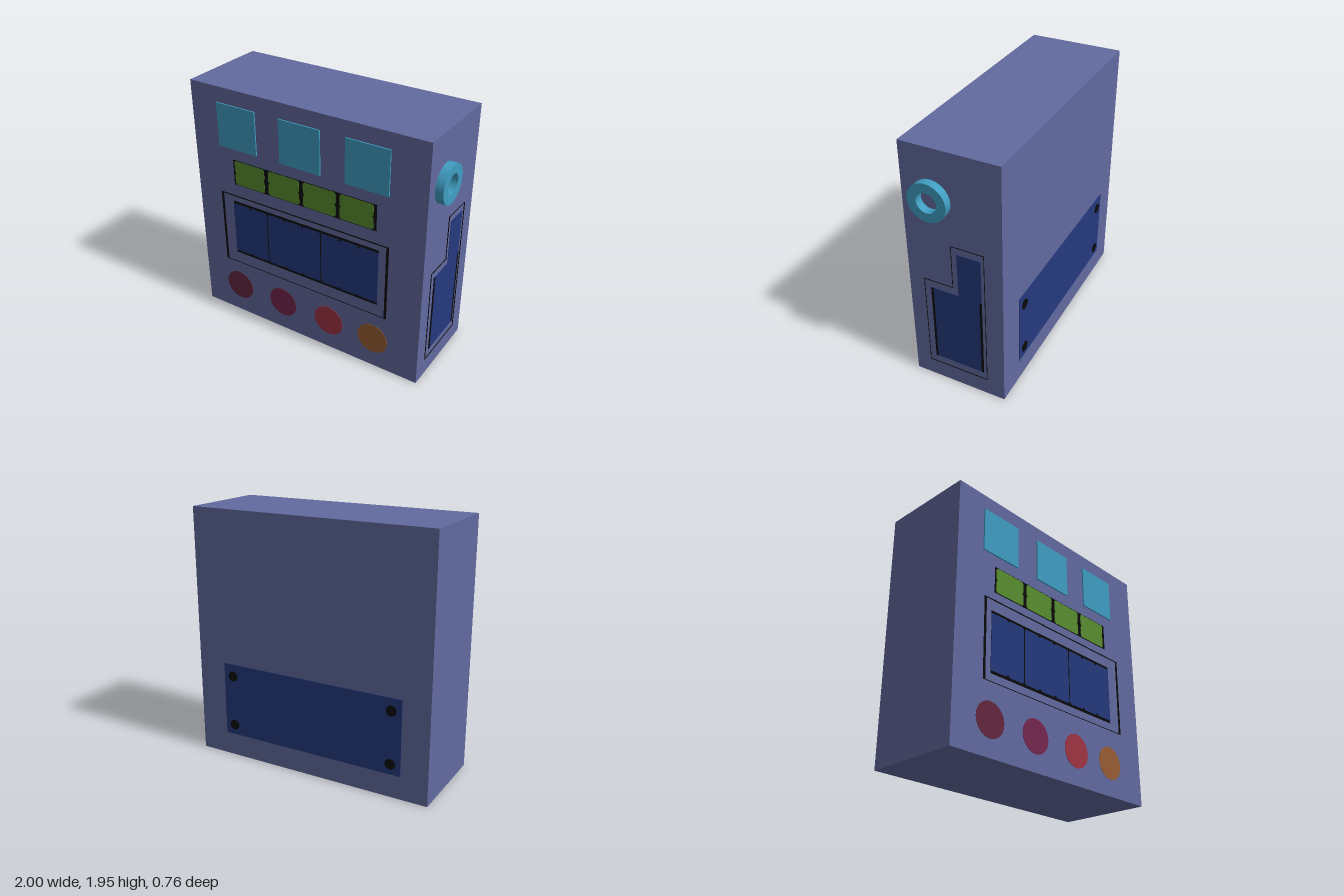
import * as THREE from 'three';

const mat = (name, color) => {
  const m = new THREE.MeshStandardMaterial({ color });
  m.name = name;
  return m;
};

export function createModel() {
  const M = {
    body: mat('slate blue', 0x626a9f),
    cyan: mat('cyan', 0x409dc2),
    green: mat('green', 0x588d30),
    navy: mat('navy', 0x25397d),
    black: mat('black', 0x0b0b0b),
    maroon: mat('maroon', 0x64263e),
    plum: mat('plum', 0x752750),
    red: mat('red', 0x9e3443),
    amber: mat('amber', 0x985d34),
  };
  const root = new THREE.Group();
  const FRONT = 0.352, BACK = -0.375, SIDE = 0.94;

  const add = (parent, name, geo, material, x = 0, y = 0, z = 0) => {
    const mesh = new THREE.Mesh(geo, material);
    mesh.name = name;
    mesh.position.set(x, y, z);
    parent.add(mesh);
    return mesh;
  };
  // box given by its limits
  const box = (parent, name, material, x0, x1, y0, y1, z0, z1) =>
    add(parent, name, new THREE.BoxGeometry(x1 - x0, y1 - y0, z1 - z0), material,
      (x0 + x1) / 2, (y0 + y1) / 2, (z0 + z1) / 2);
  // thin plate cut from an outline, standing in the xy plane
  const plate = (parent, name, material, pts, z, depth) =>
    add(parent, name, new THREE.ExtrudeGeometry(
      new THREE.Shape(pts.map(p => new THREE.Vector2(...p))),
      { depth, bevelEnabled: false }), material, 0, 0, z);
  const disc = (parent, name, material, r, x, y, z, h) => {
    const d = add(parent, name, new THREE.CylinderGeometry(r, r, h, 40), material, x, y, z);
    d.rotation.x = Math.PI / 2;
  };

  // casing
  box(root, 'casing', M.body, -1, SIDE, 0, 1.945, BACK, FRONT);

  // three raised square keys
  [-0.765, -0.22, 0.32].forEach(x =>
    box(root, 'squareKey', M.cyan, x, x + 0.34, 1.485, 1.825, FRONT, FRONT + 0.01));

  // row of green cells on a black strip
  const strip = new THREE.Group();
  strip.name = 'cellStrip';
  root.add(strip);
  box(strip, 'stripBacking', M.black, -0.65, 0.57, 1.19, 1.395, FRONT, FRONT + 0.002);
  [-0.637, -0.332, -0.028, 0.276].forEach(x => {
    const w = 0.27, c = 0.012, y0 = 1.195, y1 = 1.39, ym = 1.2925;
    plate(strip, 'greenCell', M.green, [
      [x + c, y0], [x + w - c, y0], [x + w, y0 + c], [x + w, ym - c], [x + w - c, ym],
      [x + w, ym + c], [x + w, y1 - c], [x + w - c, y1], [x + c, y1], [x, y1 - c],
      [x, ym + c], [x + c, ym], [x, ym - c], [x, y0 + c],
    ], FRONT + 0.002, 0.002);
  });

  // display with black edges, dividers and tick marks
  const display = new THREE.Group();
  display.name = 'display';
  root.add(display);
  box(display, 'displayBacking', M.black, -0.675, 0.595, 0.575, 1.04, FRONT, FRONT + 0.002);
  box(display, 'displayScreen', M.navy, -0.675, 0.595, 0.595, 1.02, FRONT, FRONT + 0.004);
  [-0.358, 0.118].forEach(x =>
    box(display, 'divider', M.black, x - 0.003, x + 0.003, 0.595, 1.02, FRONT, FRONT + 0.006));
  for (let i = 0; i < 7; i++) {
    const x = -0.517 + i * 0.159;
    plate(display, 'topTick', M.black, [[x - 0.015, 1.02], [x, 1.004], [x + 0.015, 1.02]], FRONT + 0.004, 0.002);
    plate(display, 'bottomTick', M.black, [[x - 0.015, 0.595], [x + 0.015, 0.595], [x, 0.611]], FRONT + 0.004, 0.002);
  }

  // slim frame standing just off the front
  const frame = new THREE.Group();
  frame.name = 'displayFrame';
  root.add(frame);
  [[-0.765, -0.746, 0.5, 1.11], [0.666, 0.685, 0.5, 1.11],
    [-0.746, 0.666, 1.102, 1.11], [-0.746, 0.666, 0.5, 0.504]].forEach(r =>
    box(frame, 'frameBar', M.black, ...r, 0.376, 0.379));

  // round buttons
  [[-0.67, M.maroon], [-0.245, M.plum], [0.18, M.red], [0.565, M.amber]].forEach(([x, m]) =>
    disc(root, 'roundButton', m, 0.125, x, 0.253, FRONT + 0.001, 0.004));

  // side face: local x runs to the back, local z points outward
  const side = new THREE.Group();
  side.name = 'sideFittings';
  side.position.x = SIDE;
  side.rotation.y = Math.PI / 2;
  root.add(side);

  // ring socket
  const ring = new THREE.Shape().absarc(0, 0, 0.143, 0, Math.PI * 2);
  ring.holes.push(new THREE.Path().absarc(0, 0, 0.075, 0, Math.PI * 2, true));
  add(side, 'ringSocket', new THREE.ExtrudeGeometry(ring,
    { depth: 0.06, bevelEnabled: false, curveSegments: 40 }), M.cyan, -0.13, 1.575, 0);

  // stepped side panel with dark edges
  plate(side, 'sidePanel', M.navy, [[-0.18, 0.2], [0.215, 0.2], [0.215, 1.19],
    [0.035, 1.19], [0.035, 0.84], [-0.18, 0.84]], 0, 0.003);
  [-0.18, 0.198].forEach(x =>
    box(side, 'panelEdge', M.black, x, x + 0.017, 0.2, 0.84, 0.001, 0.005));

  // hairline outline around the side panel
  const path = [[-0.23, 0.14], [0.24, 0.14], [0.24, 1.245], [-0.005, 1.245], [-0.005, 0.9], [-0.23, 0.9]];
  path.forEach((a, i) => {
    const b = path[(i + 1) % path.length], t = 0.001;
    box(side, 'outline', M.black, Math.min(a[0], b[0]) - t, Math.max(a[0], b[0]) + t,
      Math.min(a[1], b[1]) - t, Math.max(a[1], b[1]) + t, 0, 0.006);
  });

  // back cover with four screws
  box(root, 'backCover', M.navy, -0.79, 0.71, 0.18, 0.76, BACK - 0.005, BACK);
  [-0.71, 0.63].forEach(x => [0.26, 0.665].forEach(y =>
    disc(root, 'screw', M.black, 0.04, x, y, BACK - 0.006, 0.008)));

  return root;
}
